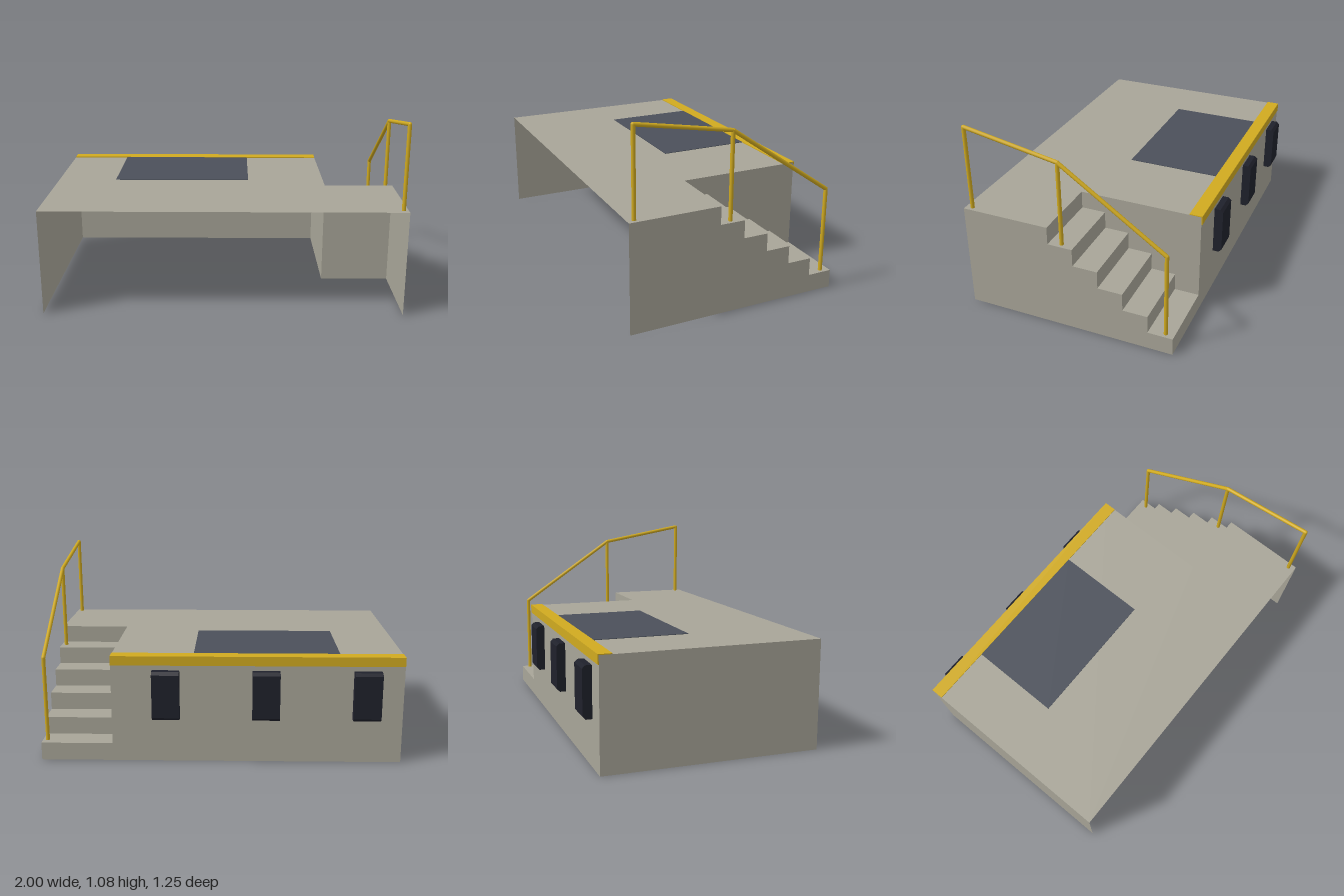
import * as THREE from 'three';

export function createModel() {
  const model = new THREE.Group();
  const concrete = new THREE.MeshStandardMaterial({ color: 0xa8a598, side: THREE.DoubleSide });
  const yellow = new THREE.MeshStandardMaterial({ color: 0xd0aa20 });
  const plateGrey = new THREE.MeshStandardMaterial({ color: 0x4b505a });
  const rubber = new THREE.MeshStandardMaterial({ color: 0x1f212b });
  concrete.name = 'concrete';
  yellow.name = 'safetyYellow';
  plateGrey.name = 'plateGrey';
  rubber.name = 'blackRubber';

  const H = 0.6, FRONT = 0.623, BACK = -0.573;
  const STAIR_X = 0.6, STAIR_Z = 0.125, STEPS = 5;

  function add(name, geometry, material, parent = model) {
    const mesh = new THREE.Mesh(geometry, material);
    mesh.name = name;
    parent.add(mesh);
    return mesh;
  }
  function box(name, material, x0, x1, y0, y1, z0, z1) {
    const g = new THREE.BoxGeometry(x1 - x0, y1 - y0, z1 - z0);
    g.translate((x0 + x1) / 2, (y0 + y1) / 2, (z0 + z1) / 2);
    return add(name, g, material);
  }
  // Sheet wall facing +x or -x
  function sideWall(name, x, z0, z1, dir) {
    const g = new THREE.PlaneGeometry(z1 - z0, H);
    g.rotateY(dir * Math.PI / 2).translate(x, H / 2, (z0 + z1) / 2);
    add(name, g, concrete);
  }
  // Sheet wall facing -z
  function rearWall(name, z, x0, x1, y0, y1) {
    const g = new THREE.PlaneGeometry(x1 - x0, y1 - y0);
    g.rotateY(Math.PI).translate((x0 + x1) / 2, (y0 + y1) / 2, z);
    add(name, g, concrete);
  }
  const shapeOf = (pts) => new THREE.Shape(pts.map(([x, y]) => new THREE.Vector2(x, y)));

  // Deck sheet with the stair corner cut out
  const deck = new THREE.ShapeGeometry(shapeOf([
    [-1, -FRONT], [1, -FRONT], [1, -STAIR_Z], [STAIR_X, -STAIR_Z], [STAIR_X, -BACK], [-1, -BACK],
  ]));
  deck.rotateX(-Math.PI / 2).translate(0, H, 0);
  add('deck', deck, concrete);

  // Walls, open to the front and underneath
  sideWall('rightWall', -1, BACK, FRONT, -1);
  sideWall('leftWall', 1, STAIR_Z, FRONT, 1);
  sideWall('stairwellWall', STAIR_X, BACK, STAIR_Z, 1);
  rearWall('backWall', BACK, -1, STAIR_X, 0, H);
  rearWall('topRiser', STAIR_Z, STAIR_X, 1, 0.5, H);

  // Solid stairs, profile drawn in (-z, y) and extruded along x
  const run = (STAIR_Z - BACK) / STEPS, rise = 0.1;
  const profile = [[-BACK, 0]];
  for (let i = 0; i < STEPS; i++) {
    const u = -BACK - i * run;
    profile.push([u, (i + 1) * rise], [u - run, (i + 1) * rise]);
  }
  profile.push([-STAIR_Z, 0]);
  const stairs = new THREE.ExtrudeGeometry(shapeOf(profile), { depth: 1 - STAIR_X, bevelEnabled: false });
  stairs.rotateY(Math.PI / 2).translate(STAIR_X, 0, 0);
  add('stairs', stairs, concrete);

  // Painted edge strip over the top and back, and leveller plate
  box('edgeStripTop', yellow, -1, STAIR_X, H, 0.605, -0.578, -0.505);
  box('edgeStripBack', yellow, -1, STAIR_X, 0.553, H, -0.578, BACK);
  box('dockPlate', plateGrey, -0.655, 0.147, H, 0.603, -0.505, 0.022);

  // Bumpers with chamfered top and bottom outer edges
  const c = 0.016, outer = 0.623;
  const bumperShape = shapeOf([
    [-BACK, 0.252], [outer - c, 0.252], [outer, 0.252 + c],
    [outer, 0.526 - c], [outer - c, 0.526], [-BACK, 0.526],
  ]);
  for (const x of [-0.8, -0.25, 0.298]) {
    const g = new THREE.ExtrudeGeometry(bumperShape, { depth: 0.15, bevelEnabled: false });
    g.rotateY(Math.PI / 2).translate(x - 0.075, 0, 0);
    add('bumper', g, rubber);
  }

  // Handrail: three posts and two sloping rails
  const handrail = new THREE.Group();
  handrail.name = 'handrail';
  model.add(handrail);
  const R = 0.011, RX = 0.973;
  function bar(name, a, b) {
    const dir = b.clone().sub(a);
    const mesh = add(name, new THREE.CylinderGeometry(R, R, dir.length(), 12), yellow, handrail);
    mesh.position.copy(a).add(b).multiplyScalar(0.5);
    mesh.quaternion.setFromUnitVectors(new THREE.Vector3(0, 1, 0), dir.normalize());
  }
  const posts = [[0.585, H, 1.073], [0.056, 0.5, 0.977], [-0.525, 0.1, 0.578]];
  const tops = posts.map(([z, , y]) => new THREE.Vector3(RX, y, z));
  posts.forEach(([z, y0], i) => {
    bar('railPost', new THREE.Vector3(RX, y0, z), tops[i]);
    if (i > 0) bar('topRail', tops[i - 1], tops[i]);
    add('railJoint', new THREE.SphereGeometry(R, 12, 8), yellow, handrail).position.copy(tops[i]);
  });

  return model;
}
